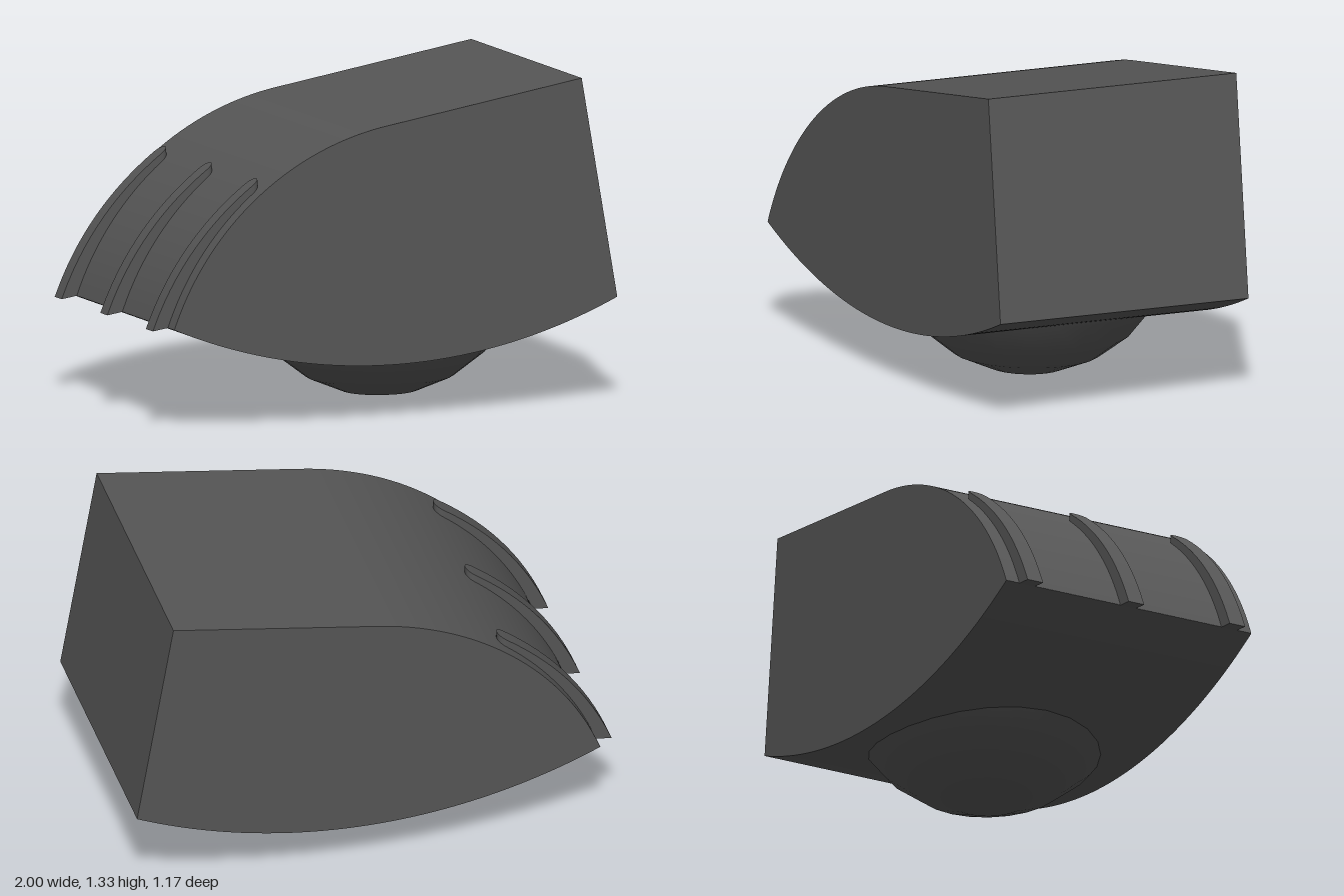
import * as THREE from 'three';
import { toCreasedNormals } from 'three/addons/utils/BufferGeometryUtils.js';

const material = new THREE.MeshStandardMaterial({ color: 0x565656 });
const DEPTH = 1.14;
const ARC = { x: 0.187, y: 0.003, r: 1.196 }; // curved upper-left face

function part(name, geometry) {
  const mesh = new THREE.Mesh(geometry, material);
  mesh.name = name;
  return mesh;
}

// Side profile: bowed bottom, slanted end, sloping top, curved nose
function bodyGeometry() {
  const shape = new THREE.Shape();
  const bow = { x: 0.0325, y: 2.566, r: 2.354 };
  const half = Math.asin(0.9675 / bow.r);
  shape.absarc(bow.x, bow.y, bow.r, -Math.PI / 2 - half, -Math.PI / 2 + half, false);
  shape.lineTo(0.855, 1.32);
  shape.absarc(ARC.x, ARC.y, ARC.r, 1.728, 2.786, false);
  const geo = new THREE.ExtrudeGeometry(shape, { depth: DEPTH, bevelEnabled: false, curveSegments: 28 });
  geo.translate(0, 0, -DEPTH / 2);
  return toCreasedNormals(geo, 0.3);
}

// Tapering strip along the nose, with a rounded upper end
function ribGeometry() {
  const outer = new THREE.QuadraticBezierCurve(
    new THREE.Vector2(-1, 0.41), new THREE.Vector2(-0.8575, 0.77), new THREE.Vector2(-0.525, 0.995));
  const halfWidth = 0.036, endX = -0.525;
  const sections = [];
  const steps = 24;
  for (let i = 0; i <= steps; i++) {
    const t = 1 - (1 - i / steps) ** 2;
    const o = outer.getPoint(t);
    const a = THREE.MathUtils.lerp(2.786, 2.221, t);
    const r = ARC.r - 0.02 * t;
    const x = ARC.x + r * Math.cos(a), y = ARC.y + r * Math.sin(a);
    const k = Math.max(0, (o.x - (endX - halfWidth)) / halfWidth);
    const w = halfWidth * Math.sqrt(Math.max(0, 1 - k * k));
    sections.push([[x, y, -w], [x, y, w], [o.x, o.y, w], [o.x, o.y, -w]]);
  }
  const pos = [];
  const quad = (a, b, c, d) => pos.push(...a, ...b, ...c, ...a, ...c, ...d);
  for (let i = 0; i < steps; i++) {
    const s = sections[i], n = sections[i + 1];
    for (let j = 0; j < 4; j++) {
      const m = (j + 1) % 4;
      quad(s[j], n[j], n[m], s[m]);
    }
  }
  quad(...sections[0]);
  const geo = new THREE.BufferGeometry();
  geo.setAttribute('position', new THREE.Float32BufferAttribute(pos, 3));
  return toCreasedNormals(geo, 0.6);
}

// Spherical cap bulging out of the underside
function domeGeometry() {
  const r = 0.6;
  const profile = [0, 15, 30, 45, 60, 65].map((deg) => {
    const a = THREE.MathUtils.degToRad(deg);
    return new THREE.Vector2(r * Math.sin(a), -r * Math.cos(a));
  });
  return new THREE.LatheGeometry(profile, 24).translate(0.2, r, 0);
}

export function createModel() {
  const model = new THREE.Group();
  model.name = 'wedgeWithDome';

  // Everything leans slightly about the x axis
  const leaning = new THREE.Group();
  leaning.name = 'leaningBody';
  leaning.rotation.x = -0.027;
  leaning.position.z = 0.022;
  model.add(leaning);

  leaning.add(part('body', bodyGeometry()));
  leaning.add(part('bottomDome', domeGeometry()));

  const rib = ribGeometry();
  for (const z of [-0.473, -0.003, 0.467]) {
    const mesh = part('noseRib', rib);
    mesh.position.z = z;
    leaning.add(mesh);
  }
  return model;
}
